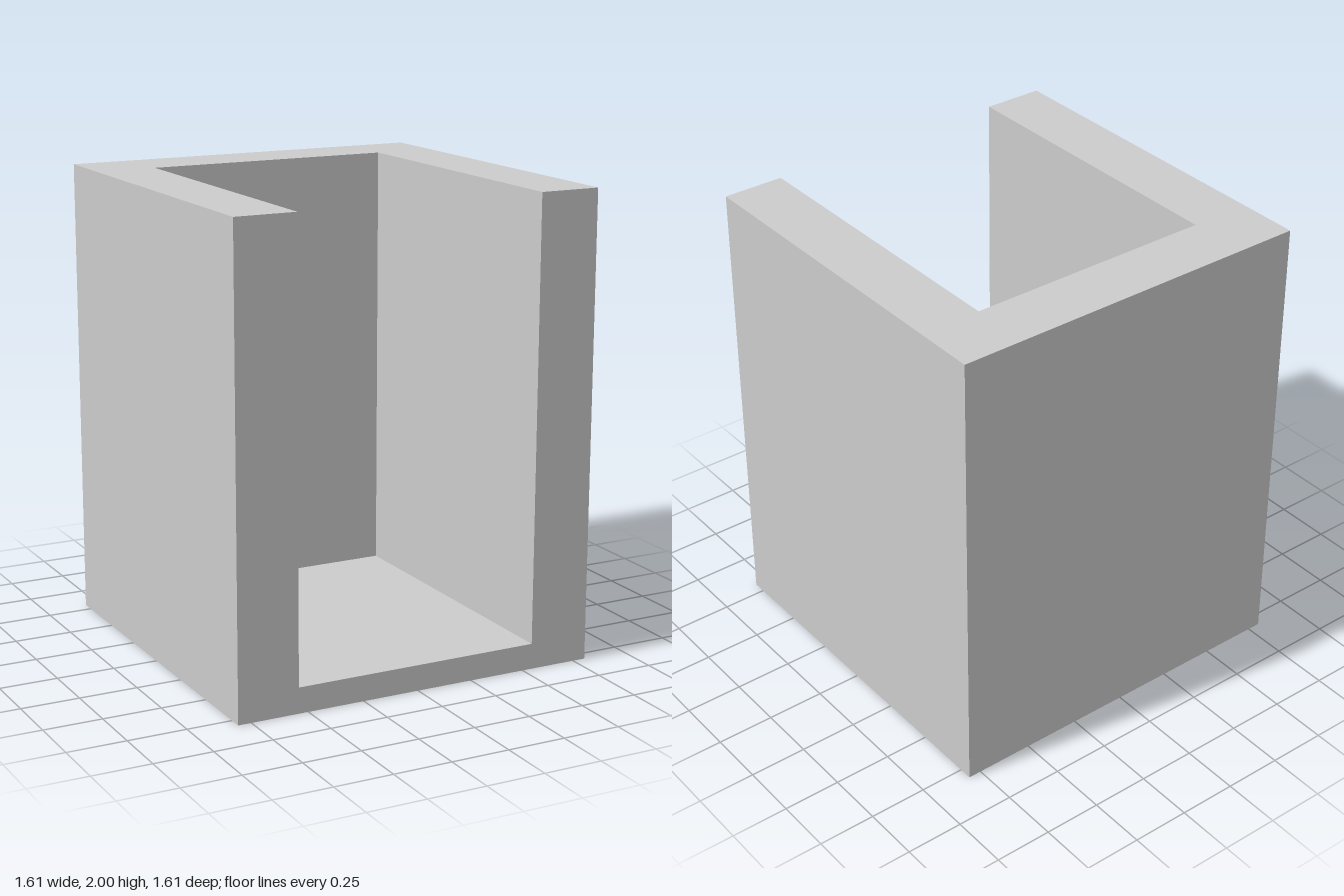
import * as THREE from 'three';

const HEIGHT = 2;
const HALF = 0.807;   // half of the square footprint
const INNER = 0.542;  // half width of the open channel
const FLOOR = 0.11;   // floor thickness

export function createModel() {
  const model = new THREE.Group();
  model.name = 'openFrontHousing';
  const material = new THREE.MeshStandardMaterial({ color: 0xcccccc, flatShading: true });

  // Back and side walls: one U-shaped plan, open at the front, raised to full height
  const plan = new THREE.Shape([
    [-HALF, -HALF], [-INNER, -HALF], [-INNER, INNER], [INNER, INNER],
    [INNER, -HALF], [HALF, -HALF], [HALF, HALF], [-HALF, HALF],
  ].map(([x, y]) => new THREE.Vector2(x, y)));
  const wallGeometry = new THREE.ExtrudeGeometry(plan, { depth: HEIGHT, bevelEnabled: false });
  wallGeometry.rotateX(-Math.PI / 2);
  const walls = new THREE.Mesh(wallGeometry, material);
  walls.name = 'walls';
  model.add(walls);

  // Floor slab filling the channel between the walls, flush with the front
  const depth = HALF + INNER;
  const floor = new THREE.Mesh(new THREE.BoxGeometry(INNER * 2, FLOOR, depth), material);
  floor.name = 'floor';
  floor.position.set(0, FLOOR / 2, HALF - depth / 2);
  model.add(floor);

  return model;
}
